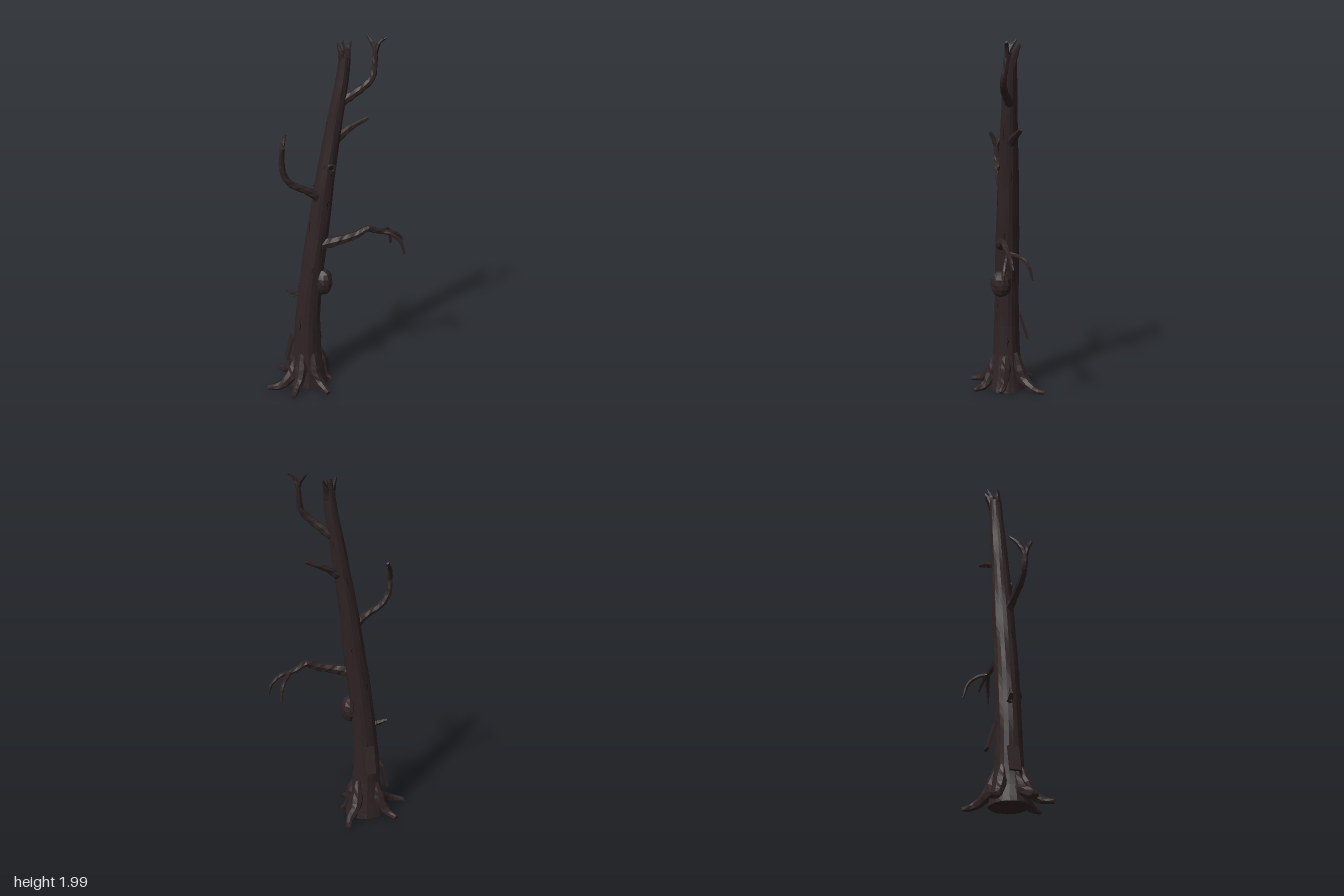
import * as THREE from 'three';

const bark = new THREE.MeshStandardMaterial({ color: 0x2f2324, flatShading: true, side: THREE.DoubleSide });
bark.name = 'bark';
const crack = new THREE.MeshStandardMaterial({ color: 0x171112, flatShading: true, side: THREE.DoubleSide });
crack.name = 'dark crack';

const V = (p) => new THREE.Vector3(...p);

// Linear lookup in evenly spaced values
function sample(list, t) {
  const f = t * (list.length - 1), i = Math.min(Math.floor(f), list.length - 2);
  return list[i] + (list[i + 1] - list[i]) * (f - i);
}

// Closed skin over equal-length rings of points
function skin(rings) {
  const n = rings[0].length, pos = [], idx = [];
  rings.forEach((ring) => ring.forEach((p) => pos.push(p.x, Math.max(0, p.y), p.z)));
  for (let r = 0; r < rings.length - 1; r++) {
    for (let i = 0; i < n; i++) {
      const a = r * n + i, b = r * n + (i + 1) % n;
      idx.push(a, b, a + n, b, b + n, a + n);
    }
  }
  const last = (rings.length - 1) * n;
  for (let i = 1; i < n - 1; i++) idx.push(0, i + 1, i, last, last + i, last + i + 1);
  const geo = new THREE.BufferGeometry();
  geo.setAttribute('position', new THREE.Float32BufferAttribute(pos, 3));
  geo.setIndex(idx);
  geo.computeVertexNormals();
  return geo;
}

// Tapered, slightly knobbly limb along a curve
function limb(points, radii, sides = 7) {
  const curve = new THREE.CatmullRomCurve3(points.map(V), false, 'centripetal');
  const steps = (points.length - 1) * 3;
  const frames = curve.computeFrenetFrames(steps, false);
  const rings = [];
  for (let s = 0; s <= steps; s++) {
    const t = s / steps, c = curve.getPoint(curve.getUtoTmapping(t)), ring = [];
    for (let i = 0; i < sides; i++) {
      const a = i / sides * Math.PI * 2;
      const r = sample(radii, t) * (1 + 0.09 * Math.sin(s * 2.3 + i * 1.9));
      ring.push(c.clone().addScaledVector(frames.normals[s], Math.cos(a) * r)
        .addScaledVector(frames.binormals[s], Math.sin(a) * r));
    }
    rings.push(ring);
  }
  return skin(rings);
}

// Trunk levels: height, centre x, radius across x, radius across z
const levels = [
  [0, -0.145, 0.118, 0.105], [0.04, -0.145, 0.108, 0.098], [0.1, -0.145, 0.095, 0.088],
  [0.2, -0.148, 0.08, 0.075], [0.4, -0.145, 0.071, 0.068], [0.6, -0.128, 0.064, 0.067],
  [0.8, -0.103, 0.063, 0.065], [1.0, -0.073, 0.06, 0.062], [1.2, -0.047, 0.053, 0.058],
  [1.4, -0.015, 0.046, 0.05], [1.6, 0.02, 0.041, 0.044], [1.8, 0.056, 0.034, 0.037], [1.89, 0.064, 0.03, 0.034],
];

function trunkAt(y) {
  let i = 0;
  while (i < levels.length - 2 && levels[i + 1][0] < y) i++;
  const a = levels[i], b = levels[i + 1], f = (y - a[0]) / (b[0] - a[0]);
  return a.map((v, k) => v + (b[k] - v) * f);
}

// Point on the trunk surface at height y and angle a (0 = +x, quarter turn = +z)
function onTrunk(y, a, grow = 1) {
  const [, x, rx, rz] = trunkAt(y);
  return new THREE.Vector3(x + Math.cos(a) * rx * grow, y, Math.sin(a) * rz * grow);
}

export function createModel() {
  const tree = new THREE.Group();
  tree.name = 'deadTree';
  const add = (name, geo, mat = bark) => {
    const m = new THREE.Mesh(geo, mat);
    m.name = name;
    tree.add(m);
    return m;
  };

  // Leaning trunk with shallow bark ridges
  const rings = [], sides = 18;
  for (let s = 0; s <= 34; s++) {
    const y = s < 4 ? s * 0.03 : 0.09 + (s - 3) / 31 * 1.8, ring = [];
    for (let i = 0; i < sides; i++) {
      const ridge = 1 + 0.03 * Math.sin(i * 2.1 + Math.sin(s * 0.7) * 1.2);
      ring.push(onTrunk(y, -i / sides * Math.PI * 2, ridge));
    }
    rings.push(ring);
  }
  add('trunk', skin(rings));

  // Splintered top
  const splinters = [
    [[0.052, 1.85, 0.005], [0.042, 1.91, 0.005], [0.026, 1.965, -0.005]],
    [[0.064, 1.85, -0.01], [0.062, 1.91, -0.025], [0.066, 1.965, -0.05]],
    [[0.078, 1.85, -0.01], [0.088, 1.905, -0.025], [0.11, 1.962, -0.05]],
    [[0.066, 1.85, 0.015], [0.07, 1.9, 0.018], [0.073, 1.945, 0.015]],
  ];
  splinters.forEach((p) => add('splinter', limb(p, [0.02, 0.016, 0.004], 5)));

  // Roots, starting high on the trunk and running out over the ground
  const roots = [
    [[-0.215, 0.17, 0.01], [-0.245, 0.07, 0.03], [-0.32, 0.022, 0.065], [-0.395, 0.01, 0.045]],
    [[-0.19, 0.2, -0.05], [-0.215, 0.08, -0.075], [-0.25, 0.025, -0.105], [-0.28, 0.012, -0.155]],
    [[-0.088, 0.22, -0.045], [-0.065, 0.08, -0.085], [-0.005, 0.025, -0.145], [0.008, 0.012, -0.198]],
    [[-0.19, 0.2, 0.045], [-0.21, 0.08, 0.085], [-0.245, 0.025, 0.13], [-0.275, 0.012, 0.19]],
    [[-0.13, 0.2, 0.06], [-0.125, 0.08, 0.09], [-0.095, 0.025, 0.135], [-0.075, 0.012, 0.195]],
    [[-0.085, 0.21, 0.01], [-0.062, 0.1, 0.015], [-0.045, 0.04, 0.025], [-0.02, 0.01, 0.045]],
  ];
  roots.forEach((p) => add('root', limb(p, [0.016, 0.034, 0.026, 0.013])));

  // Clawed branch with three drooping fingers
  add('clawBranch', limb([[-0.09, 0.85, 0.02], [-0.03, 0.868, 0.04], [0.05, 0.885, 0.05], [0.13, 0.905, 0.05],
    [0.185, 0.93, 0.045], [0.24, 0.905, 0.035], [0.29, 0.89, 0.028]], [0.036, 0.032, 0.026, 0.023, 0.02, 0.017, 0.012]));
  const fingers = [
    [[0.275, 0.892, 0.03], [0.31, 0.885, -0.02], [0.345, 0.85, -0.065], [0.36, 0.765, -0.09]],
    [[0.275, 0.892, 0.03], [0.33, 0.885, 0.025], [0.375, 0.855, 0.018], [0.395, 0.83, 0.015]],
    [[0.275, 0.892, 0.03], [0.33, 0.875, 0.045], [0.375, 0.825, 0.06], [0.392, 0.76, 0.068]],
  ];
  fingers.forEach((p) => add('clawFinger', limb(p, [0.011, 0.011, 0.01, 0.006], 6)));

  // Upswept forked branch
  add('upsweptBranch', limb([[-0.065, 1.1, 0.01], [-0.105, 1.15, 0.025], [-0.165, 1.19, 0.035], [-0.235, 1.228, 0.04],
    [-0.278, 1.29, 0.042], [-0.288, 1.36, 0.045], [-0.288, 1.4, 0.055], [-0.285, 1.45, 0.08]],
  [0.034, 0.026, 0.02, 0.019, 0.018, 0.017, 0.015, 0.01]));
  add('upsweptFork', limb([[-0.288, 1.37, 0.045], [-0.278, 1.43, 0.015], [-0.25, 1.485, -0.03]], [0.015, 0.013, 0.007], 6));

  // Short snapped branch
  add('snappedBranch', limb([[0.015, 1.435, -0.01], [0.06, 1.47, -0.02], [0.12, 1.5, -0.035], [0.205, 1.533, -0.045]],
    [0.028, 0.021, 0.015, 0.009]));

  // Forked branch near the top
  add('topBranch', limb([[0.05, 1.65, 0], [0.1, 1.69, 0.02], [0.15, 1.73, 0.04], [0.2, 1.785, 0.048],
    [0.213, 1.85, 0.038], [0.22, 1.92, 0.028]], [0.026, 0.022, 0.019, 0.017, 0.015, 0.013]));
  add('topFork', limb([[0.22, 1.91, 0.03], [0.21, 1.95, 0.012], [0.188, 1.99, -0.018]], [0.013, 0.011, 0.007], 6));
  add('topFork', limb([[0.22, 1.91, 0.03], [0.238, 1.965, 0.035], [0.272, 1.988, 0.038]], [0.013, 0.011, 0.007], 6));

  // Small twig stub
  add('twigStub', limb([[-0.18, 0.545, -0.01], [-0.215, 0.555, -0.015], [-0.26, 0.57, -0.025]], [0.018, 0.013, 0.008], 5));
  add('twigStub', limb([[-0.205, 0.555, -0.015], [-0.225, 0.535, -0.01]], [0.01, 0.005], 5));

  // Lumpy burl
  const burl = new THREE.SphereGeometry(1, 10, 8), p = burl.attributes.position;
  for (let i = 0; i < p.count; i++) {
    const v = new THREE.Vector3().fromBufferAttribute(p, i);
    v.multiplyScalar(1 + 0.07 * Math.sin(v.x * 5 + v.y * 4) * Math.cos(v.z * 4));
    p.setXYZ(i, v.x, v.y, v.z);
  }
  const burlMesh = add('burl', burl);
  burlMesh.scale.set(0.05, 0.076, 0.06);
  burlMesh.position.set(-0.062, 0.636, 0.038);

  // Knot hole with a raised rim
  const rim = add('knotRim', new THREE.TorusGeometry(0.018, 0.007, 6, 10));
  rim.position.set(-0.022, 1.305, 0.055);
  const hole = add('knotHole', new THREE.CircleGeometry(0.016, 10), crack);
  hole.position.set(-0.022, 1.305, 0.057);

  // Peeling bark plates
  const backPlate = add('barkPlate', new THREE.BoxGeometry(0.06, 0.155, 0.014));
  backPlate.position.set(-0.14, 0.365, -0.095);
  backPlate.rotation.x = 0.3;
  const sidePlate = add('barkPlate', new THREE.BoxGeometry(0.014, 0.14, 0.06));
  sidePlate.position.set(-0.25, 0.222, -0.01);
  sidePlate.rotation.z = -0.25;

  // Thin vertical cracks in the bark, spiralled round the trunk
  for (let k = 0; k < 20; k++) {
    const y = 0.26 + k * 0.074, a = k * 2.4, len = 0.06 + 0.03 * Math.sin(k * 1.7);
    const strip = [], idx = [];
    for (let s = 0; s <= 4; s++) {
      const w = 0.045 * Math.sin(Math.PI * (s + 0.2) / 4.4), bend = 0.06 * Math.sin(s * 2 + k);
      for (const d of [-w, w]) strip.push(...onTrunk(y + len * s / 4, a + bend + d, 1.035).toArray());
      if (s) idx.push(2 * s - 2, 2 * s, 2 * s - 1, 2 * s - 1, 2 * s, 2 * s + 1);
    }
    const geo = new THREE.BufferGeometry();
    geo.setAttribute('position', new THREE.Float32BufferAttribute(strip, 3));
    geo.setIndex(idx);
    geo.computeVertexNormals();
    add('barkCrack', geo, crack);
  }
  return tree;
}
